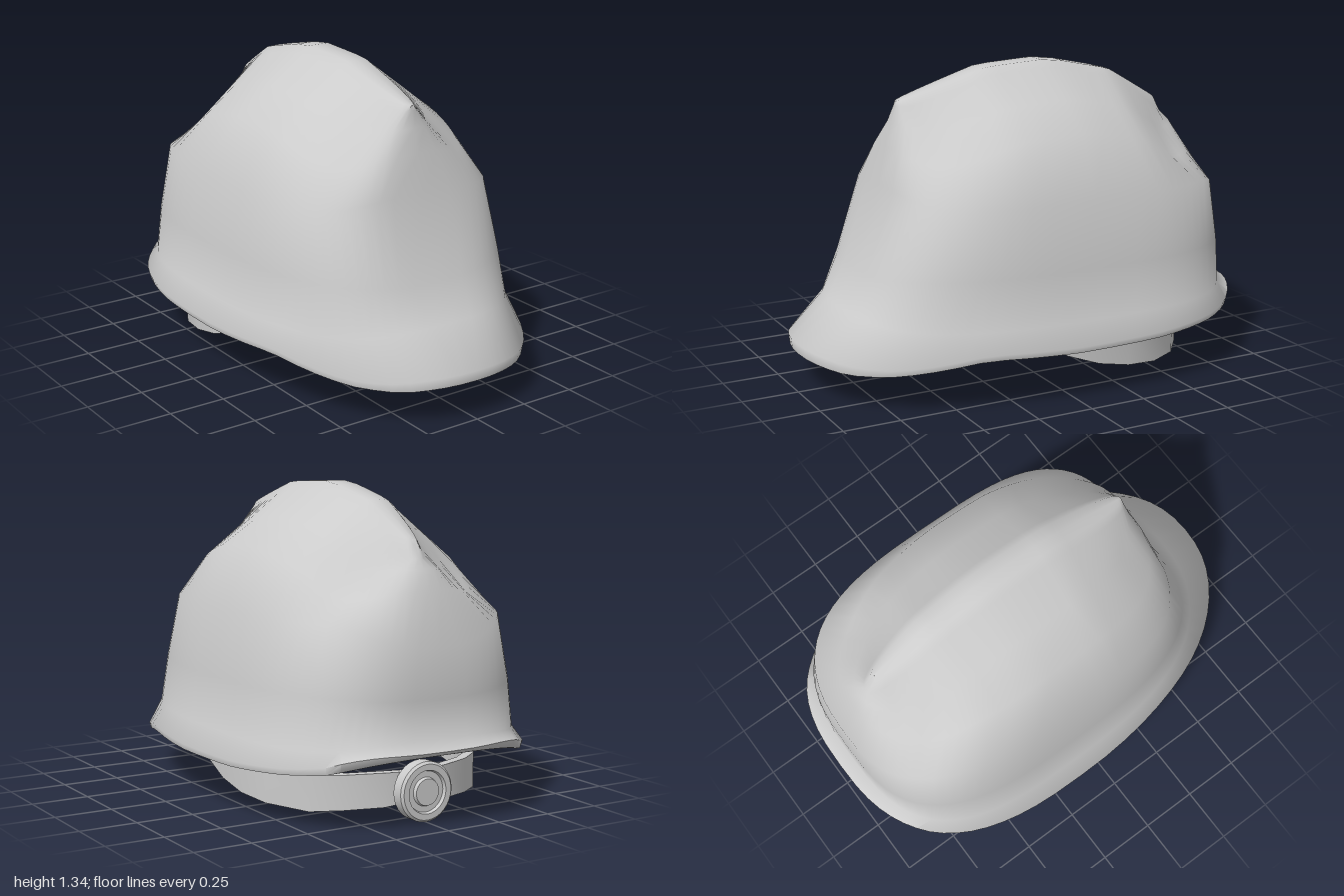
import * as THREE from 'three';
import { toCreasedNormals } from 'three/addons/utils/BufferGeometryUtils.js';

const grey = new THREE.MeshStandardMaterial({ color: 0xcccccc });
const greyDouble = new THREE.MeshStandardMaterial({ color: 0xcccccc, side: THREE.DoubleSide });

// Skin a list of closed cross-sections
function loft(rings, crease) {
  const pos = [], idx = [], n = rings[0].length;
  rings.forEach(r => r.forEach(p => pos.push(...p)));
  for (let i = 0; i < rings.length - 1; i++) {
    for (let j = 0; j < n; j++) {
      const k = (j + 1) % n;
      const a = i * n + j, b = i * n + k, c = b + n, d = a + n;
      idx.push(a, b, c, a, c, d);
    }
  }
  const g = new THREE.BufferGeometry();
  g.setAttribute('position', new THREE.Float32BufferAttribute(pos, 3));
  g.setIndex(idx);
  return toCreasedNormals(g, crease);
}

function add(parent, name, geometry, material = grey) {
  const m = new THREE.Mesh(geometry, material);
  m.name = name;
  parent.add(m);
  return m;
}

// Piecewise linear lookup; keys run from high to low
function lookup(table, z) {
  if (z >= table[0][0]) return table[0][1];
  for (let i = 1; i < table.length; i++) {
    const [z0, y0] = table[i - 1], [z1, y1] = table[i];
    if (z >= z1) return y0 + (y1 - y0) * (z0 - z) / (z0 - z1);
  }
  return table[table.length - 1][1];
}
const ridge = z => lookup([[0.53, 1.21], [0.13, 1.33], [-0.18, 1.345], [-0.48, 1.28],
  [-0.74, 1.13], [-0.84, 0.97], [-0.93, 0.72]], z);
const rimY = z => lookup([[1, 0.17], [0.9, 0.155], [0.75, 0.165], [0.6, 0.19], [0.4, 0.225],
  [0, 0.215], [-0.4, 0.22], [-0.7, 0.235], [-0.85, 0.25], [-1, 0.31]], z);

// One outline of the shell: half width, front and back z, squareness of front and
// back, height rule, centre heights, and how far the ridge juts out at the ends
function shellRing({ w, f, b, n, nb = 2.7, y, yF, yB, noseF = 0, noseB = 0 }, inset = 0, drop = 0) {
  const pts = [], N = 64, zc = -0.14;
  const W = Math.max(w - inset, 0);
  for (let j = 0; j < N; j++) {
    const t = j / N * Math.PI * 2, s = Math.sin(t), c = Math.cos(t);
    const front = c > 0, e = 2 / (front ? n : nb);
    const x = W * Math.sign(s) * Math.abs(s) ** e;
    const reach = front ? f - inset - zc : b + inset - zc;
    const z = zc + reach * Math.abs(c) ** e;
    const base = y(z), end = (front ? yF : yB) ?? base;
    const h = base + (end - base) * Math.abs(c) ** 8;
    pts.push([x, h - drop, z + (front ? noseF : -noseB) * Math.abs(c) ** 16]);
  }
  return pts;
}

function shell() {
  const rim = { w: 0.663, f: 0.995, b: -0.992, n: 2.2, y: rimY };
  const lip = { w: 0.67, f: 1, b: -1, n: 2.2, y: z => rimY(z) + 0.025, yF: 0.215, yB: 0.32 };
  const body = [
    { w: 0.61, f: 0.82, b: -0.94, n: 2.65, nb: 3, y: () => 0.33, yF: 0.36, yB: 0.36 },
    { w: 0.578, f: 0.73, b: -0.94, n: 3, nb: 3, y: () => 0.54, yF: 0.51, yB: 0.52 },
    { w: 0.53, f: 0.61, b: -0.93, n: 3.5, nb: 2.8, y: () => 0.82, yF: 0.86, yB: 0.72 },
    { w: 0.41, f: 0.55, b: -0.85, n: 3.3, nb: 2.4, y: z => Math.max(ridge(z) - 0.265, 0.9),
      yF: 1.02, yB: 0.94, noseF: 0.03 },
    { w: 0.25, f: 0.485, b: -0.77, n: 3.1, y: z => Math.max(ridge(z) - 0.147, 1), yF: 1.12, yB: 1.02,
      noseF: 0.065, noseB: 0.045 },
    { w: 0.09, f: 0.533, b: -0.78, n: 2.9, y: z => ridge(z) - 0.03, yF: 1.19, yB: 1.06 },
    { w: 0.05, f: 0.53, b: -0.75, n: 2.9, y: ridge },
    { w: 0, f: 0.53, b: -0.73, n: 2.9, y: ridge },
  ];
  // inside from crown down, around the rim, then up the outside
  const inner = body.map((r, i) => shellRing(r, 0.03, i > 2 ? 0.03 : 0)).reverse();
  const outer = [rim, lip, ...body].map(r => shellRing(r));
  return loft([...inner, shellRing(rim, 0.008), ...outer], 1.1);
}

// Flat band along stations [x, z, bottom, top], running from +x round the back to -x
function band(stations, thick, closed = false) {
  const n = stations.length;
  const rings = stations.map(([x, z, lo, hi], i) => {
    const p = stations[closed ? (i + n - 1) % n : Math.max(i - 1, 0)];
    const q = stations[closed ? (i + 1) % n : Math.min(i + 1, n - 1)];
    const dx = q[0] - p[0], dz = q[1] - p[1], l = Math.hypot(dx, dz);
    const ix = x + dz / l * thick, iz = z - dx / l * thick;
    return [[x, hi, z], [x, lo, z], [ix, lo, iz], [ix, hi, iz]];
  });
  if (closed) rings.push(rings[0]);
  return loft(rings, 0.7);
}

export function createModel() {
  const model = new THREE.Group();
  model.name = 'safetyHelmet';
  add(model, 'shell', shell());

  const harness = new THREE.Group();
  harness.name = 'harness';
  model.add(harness);

  // Ring around the head, rising towards the forehead
  const ring = [];
  for (let i = 0; i < 40; i++) {
    const a = i / 40 * Math.PI * 2, z = -0.12 - 0.54 * Math.sin(a);
    const y = 0.335 + 0.15 * z;
    ring.push([0.53 * Math.cos(a), z, y, y + 0.045]);
  }
  add(harness, 'headRing', band(ring, 0.035, true), greyDouble);

  // Wide straps crossing over the crown, side to side and front to back
  for (const turn of [0, Math.PI / 2]) {
    const strap = add(harness, 'crownStrap', new THREE.TorusGeometry(1, 0.03, 8, 32, Math.PI));
    strap.scale.set(0.5, 0.48, 4.5);
    strap.position.set(0, 0.34, -0.12);
    strap.rotation.y = turn;
  }

  // Nape strap dipping below the rim to the adjuster
  const half = [
    [0.525, 0.1, 0.225, 0.3], [0.545, 0, 0.165, 0.24], [0.555, -0.15, 0.11, 0.22],
    [0.55, -0.3, 0.078, 0.205], [0.52, -0.45, 0.062, 0.197], [0.41, -0.61, 0.045, 0.195],
    [0.3, -0.7, 0.055, 0.2], [0.15, -0.77, 0.063, 0.205],
  ];
  const mirrored = half.map(([x, ...r]) => [-x, ...r]).reverse();
  add(harness, 'napeStrap', band([...half, [0, -0.79, 0.08, 0.2], ...mirrored], 0.04), greyDouble);

  // Round adjuster with stepped face
  const profile = [[0, 0], [0.125, 0], [0.125, 0.05], [0.115, 0.06], [0.09, 0.06], [0.085, 0.045],
    [0.06, 0.045], [0.055, 0.06], [0, 0.06]].map(p => new THREE.Vector2(...p));
  const knob = toCreasedNormals(new THREE.LatheGeometry(profile, 32), 0.5);
  knob.rotateX(-Math.PI / 2);
  add(harness, 'adjusterKnob', knob, greyDouble).position.set(0, 0.125, -0.795);

  return model;
}
